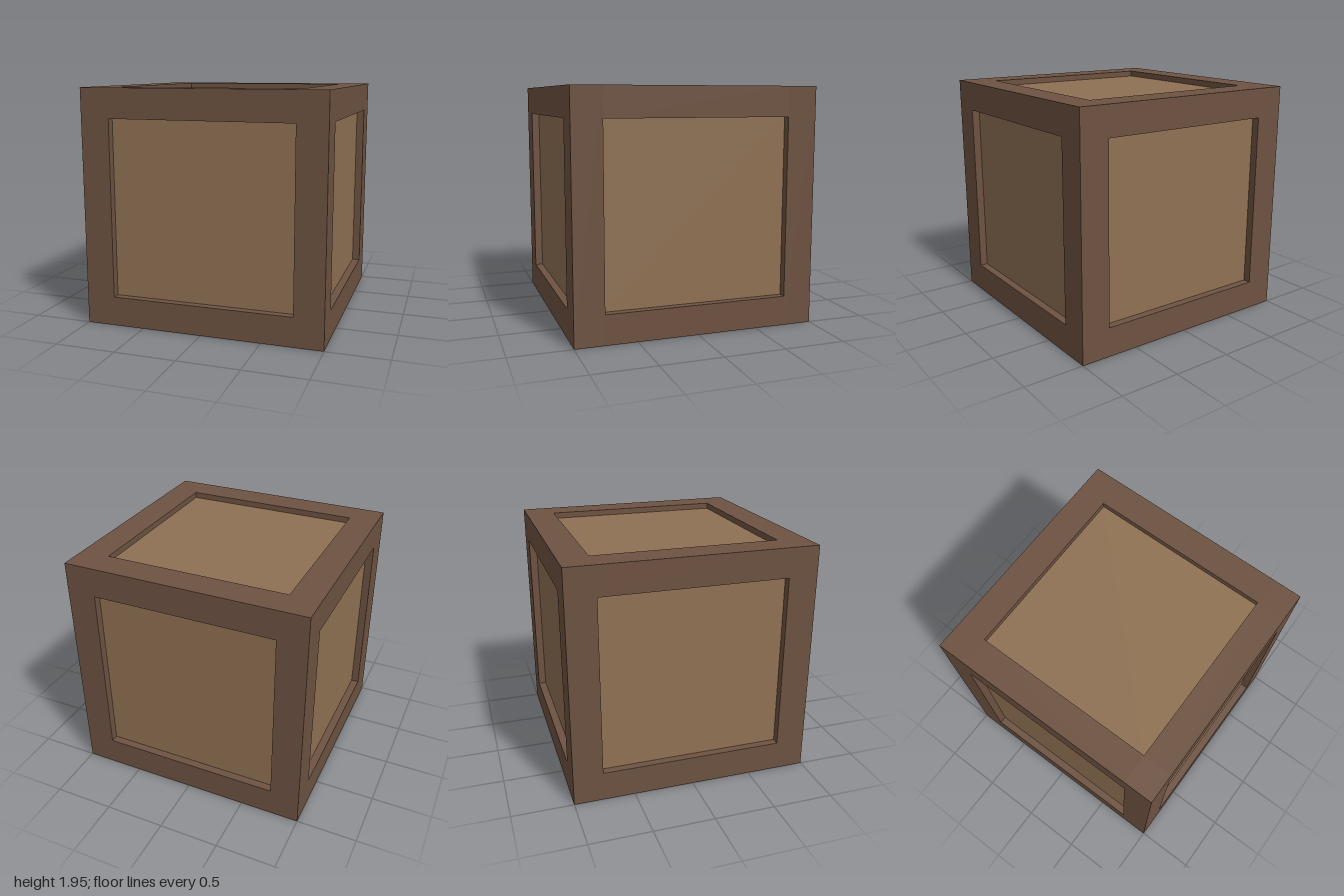
import * as THREE from 'three';

export function createModel() {
  const frameMat = new THREE.MeshStandardMaterial({ color: 0x6d5241 });
  frameMat.name = 'dark wood';
  const panelMat = new THREE.MeshStandardMaterial({ color: 0x8f7153 });
  panelMat.name = 'light wood';

  const group = new THREE.Group();
  group.name = 'crate';
  const W = 2, H = 1.953, T = 0.243; // width, height, beam thickness
  const box = (name, mat, size, pos) => {
    const mesh = new THREE.Mesh(new THREE.BoxGeometry(...size), mat);
    mesh.name = name;
    mesh.position.set(...pos);
    group.add(mesh);
  };

  // Recessed panels: the six faces of one inner block
  box('panels', panelMat, [W - 0.13, H - 0.1, W - 0.13], [0, H / 2, 0]);

  // Corner posts, with rails fitted between them along top and bottom
  const edge = (W - T) / 2, span = W - 2 * T;
  for (const a of [-1, 1]) {
    for (const b of [-1, 1]) {
      const y = H / 2 + b * (H - T) / 2;
      box('cornerPost', frameMat, [T, H, T], [a * edge, H / 2, b * edge]);
      box('crossRail', frameMat, [span, T, T], [0, y, a * edge]);
      box('sideRail', frameMat, [T, T, span], [a * edge, y, 0]);
    }
  }
  return group;
}
